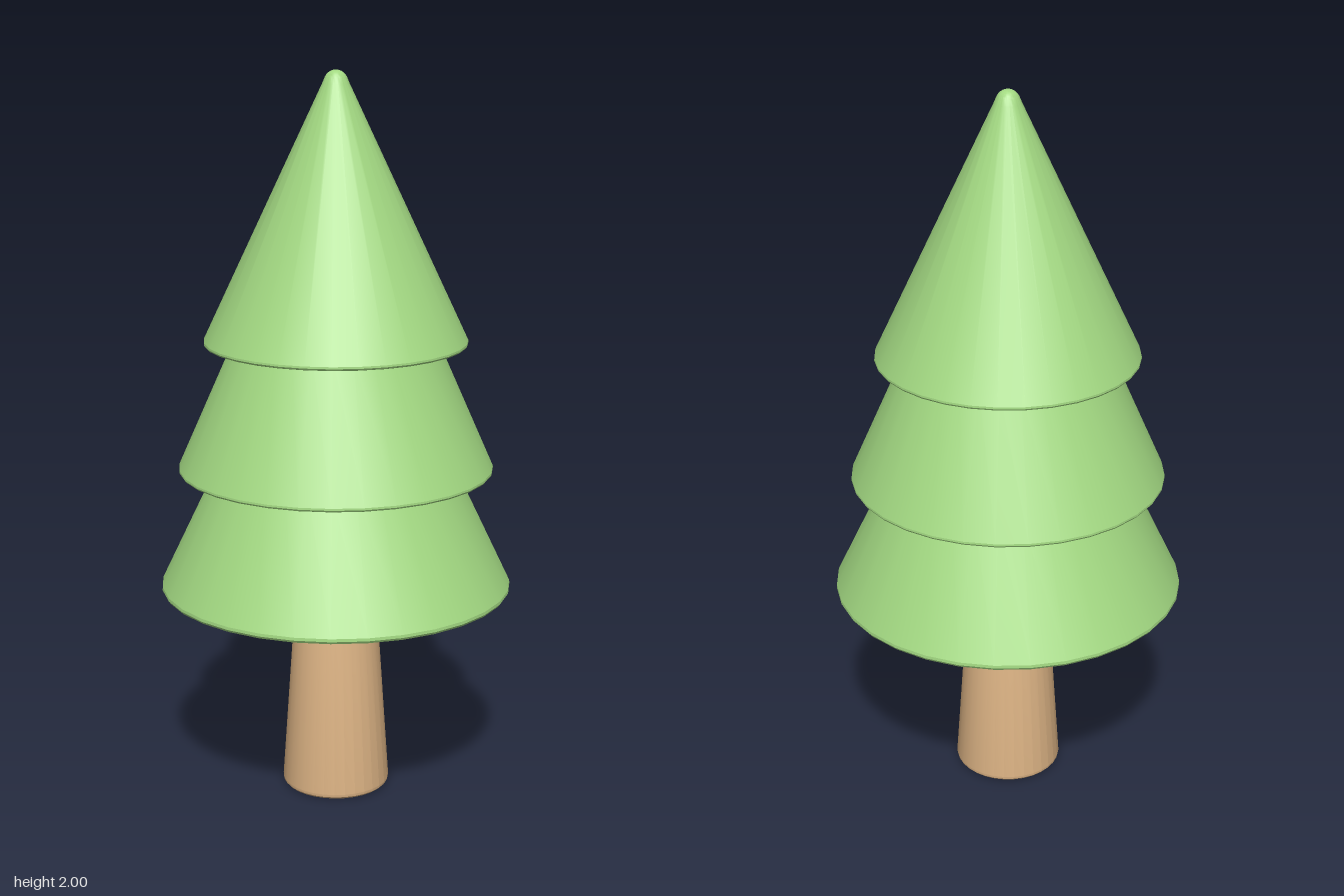
import * as THREE from 'three';
import { toCreasedNormals } from 'three/addons/utils/BufferGeometryUtils.js';

const SIDES = 32;
const leaf = new THREE.MeshStandardMaterial({ color: 0xa3d982 });
const bark = new THREE.MeshStandardMaterial({ color: 0xe2b888 });

// Points on an arc of the profile, angles in degrees above the horizontal
function arc(cx, cy, radius, from, to, steps) {
  const points = [];
  for (let i = 0; i <= steps; i++) {
    const a = THREE.MathUtils.degToRad(from + ((to - from) * i) / steps);
    points.push([cx + radius * Math.cos(a), cy + radius * Math.sin(a)]);
  }
  return points;
}

// Turned part: smooth around, crisp at the rims
function turned(name, points, material) {
  const profile = points.map(([r, y]) => new THREE.Vector2(Math.max(r, 0), y));
  const geometry = toCreasedNormals(new THREE.LatheGeometry(profile, SIDES), 0.3);
  const mesh = new THREE.Mesh(geometry, material);
  mesh.name = name;
  return mesh;
}

// Conical skirt of foliage: flat underside, softened rim, then the given top
function tier(name, radius, y, rim, top) {
  const edge = arc(radius - rim, y + rim, rim, -90, 25, 3);
  return turned(name, [[0, y], ...edge, ...top], leaf);
}

export function createModel() {
  const tree = new THREE.Group();
  tree.name = 'tree';

  // Tapered trunk with a softened foot
  tree.add(turned('trunk', [
    [0, 0], ...arc(0.135, 0.015, 0.015, -90, 4, 3), [0.11, 0.6], [0, 0.6],
  ], bark));

  // Lower tiers run up just inside the tier above
  tree.add(tier('lowerFoliage', 0.484, 0.587, 0.012, [[0.322, 0.94], [0, 0.94]]));
  tree.add(tier('middleFoliage', 0.431, 0.923, 0.008, [[0.273, 1.29], [0, 1.29]]));

  // Top tier ends in a rounded tip
  tree.add(tier('topFoliage', 0.358, 1.273, 0.008, [
    [0.036, 1.965], ...arc(0, 1.968, 0.032, 25, 90, 5),
  ]));

  return tree;
}
